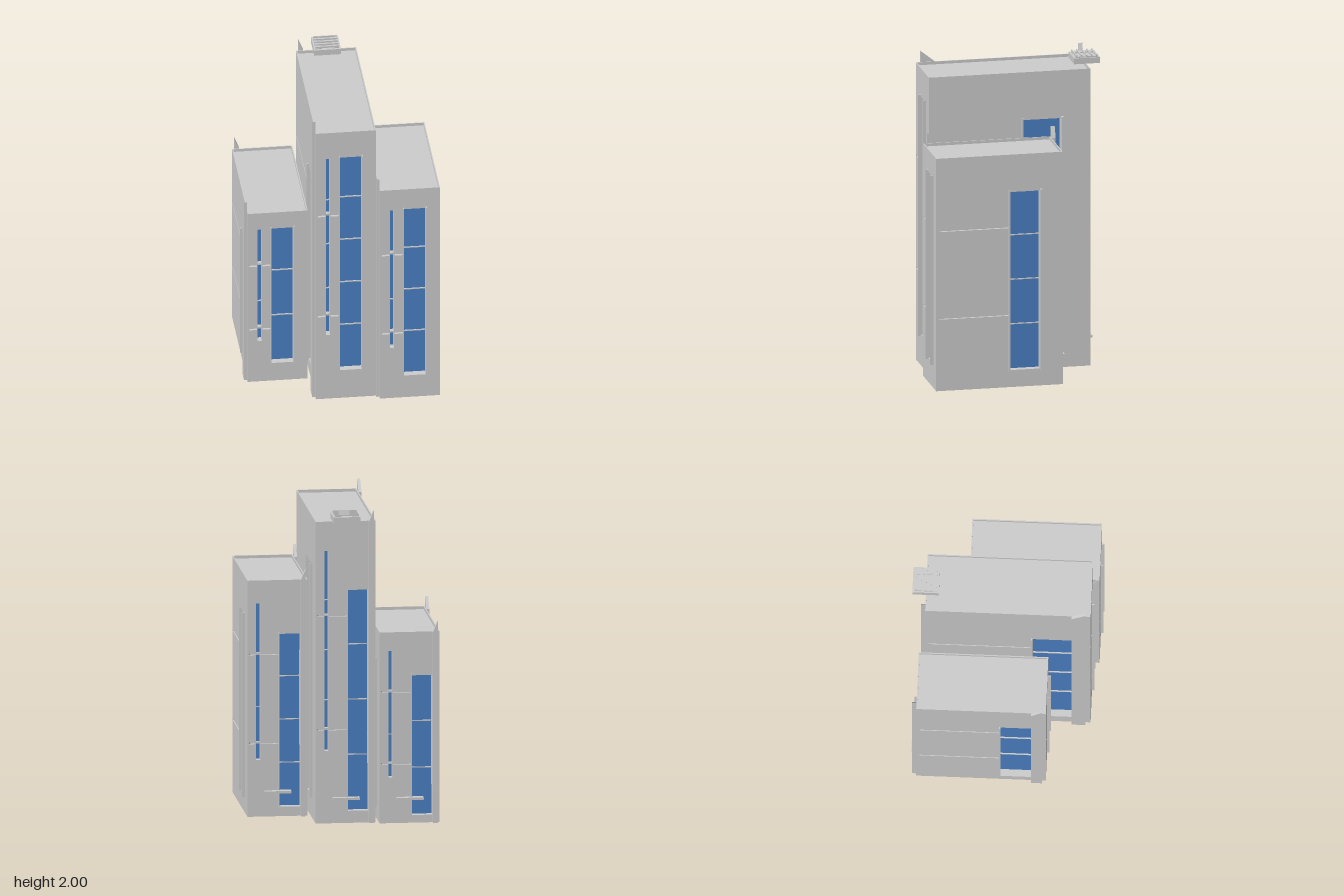
import * as THREE from 'three';

const grey = new THREE.MeshStandardMaterial({ color: 0xcccccc, flatShading: true });
const blue = new THREE.MeshStandardMaterial({ color: 0x4a7fc4, flatShading: true });
const WALL = 0.05; // wall thickness, also the window recess
const LIP = 0.018; // roof edge height

function add(parent, name, geometry, material = grey) {
  const mesh = new THREE.Mesh(geometry, material);
  mesh.name = name;
  parent.add(mesh);
  return mesh;
}

// box given by its limits on each axis
function box(parent, name, [x0, x1], [y0, y1], [z0, z1], material) {
  const mesh = add(parent, name, new THREE.BoxGeometry(x1 - x0, y1 - y0, z1 - z0), material);
  mesh.position.set((x0 + x1) / 2, (y0 + y1) / 2, (z0 + z1) / 2);
  return mesh;
}

function polygon(points, Type = THREE.Shape) {
  return new Type(points.map(([x, y]) => new THREE.Vector2(x, y)));
}

function rectangle([u0, u1], [y0, y1], Type) {
  return polygon([[u0, y0], [u1, y0], [u1, y1], [u0, y1]], Type);
}

// full-height upright with a slanted top
function slantedFin(parent, name, u0, u1, h, depth) {
  const shape = polygon([[u0, 0], [u1, 0], [u1, h + 0.07], [u0, h]]);
  add(parent, name, new THREE.ExtrudeGeometry(shape, { depth, bevelEnabled: false }));
}

// glass with cross bars, set back behind the wall surface (z = 0)
function glazing(parent, name, { u, y, panes }) {
  box(parent, name + 'Glass', u, y, [-WALL - 0.002, -WALL + 0.004], blue);
  for (let i = 1; i < panes; i++) {
    const level = y[0] + (y[1] - y[0]) * i / panes;
    box(parent, name + 'Bar', u, [level - 0.003, level + 0.003], [-WALL, -WALL + 0.012]);
  }
}

// one wall, outward along local +z, with openings, grooves and window fins
function facade(name, w, h, { win, strip, finSizes, margin }) {
  const group = new THREE.Group();
  group.name = name;
  const wall = rectangle([-w / 2, w / 2], [0, h - LIP]);
  const openings = strip ? [win, strip] : [win];
  for (const o of openings) wall.holes.push(rectangle(o.u, o.y, THREE.Path));

  // horizontal grooves from the wall's edge to the window, split by the strip
  const start = -w / 2 + margin, end = win.u[0] - 0.004;
  const runs = strip
    ? [[start, strip.u[0] - 0.003], [strip.u[1] + 0.003, end]]
    : [[start, end]];
  for (const ratio of [0.311, 0.688]) {
    const y = [h * ratio - 0.006, h * ratio + 0.006];
    for (const run of runs) wall.holes.push(rectangle(run, y, THREE.Path));
    box(group, 'grooveBed', [start, end], y, [-WALL + 0.001, -0.018]);
  }

  // mitre the inner corners so neighbouring walls meet
  const geometry = new THREE.ExtrudeGeometry(wall, { depth: WALL, bevelEnabled: false });
  const p = geometry.attributes.position;
  for (let i = 0; i < p.count; i++) {
    const x = p.getX(i);
    if (p.getZ(i) < 0.001 && Math.abs(x) > w / 2 - 0.001) p.setX(i, x - Math.sign(x) * WALL);
  }
  geometry.computeVertexNormals();
  add(group, 'wall', geometry).position.z = -WALL;

  glazing(group, 'window', win);
  if (strip) glazing(group, 'strip', strip);

  // thin uprights either side of the window: [width, projection]
  finSizes.forEach(([width, out], i) => {
    const u = i ? [win.u[1], win.u[1] + width] : [win.u[0] - width, win.u[0]];
    box(group, 'windowFin', u, [win.y[0] - 0.008, win.y[1] + 0.012], [-WALL, out]);
  });
  return group;
}

function tower(name, cx, zBack, zFront, h, frontPanes, stripPanes, sidePanes) {
  const group = new THREE.Group();
  group.name = name;
  const w = 0.38, d = zFront - zBack;
  group.position.set(cx, 0, (zBack + zFront) / 2);
  const span = (a, b) => [a * h, b * h];
  const around = (c) => [(c - 0.118) * d, (c + 0.118) * d];

  const front = facade('frontWall', w, h, {
    win: { u: [-0.04, 0.1], y: span(0.104, 0.905), panes: frontPanes },
    strip: { u: [-0.126, -0.1], y: span(0.24, 0.903), panes: stripPanes },
    finSizes: [[0.005, 0.018], [0.005, 0.02]], margin: 0.01,
  });
  front.position.z = d / 2;

  const back = facade('backWall', w, h, {
    win: { u: [0.012, 0.145], y: span(0.04, 0.772), panes: sidePanes },
    strip: { u: [-0.135, -0.109], y: span(0.24, 0.903), panes: stripPanes },
    finSizes: [[0.005, 0.018], [0.005, 0.018]], margin: 0.01,
  });
  back.rotation.y = Math.PI;
  back.position.z = -d / 2;
  slantedFin(back, 'backFin', 0.145, 0.175, h, 0.027);
  box(back, 'canopy', [-0.085, 0.085], [0.152, 0.167], [-0.01, 0.035]);

  const left = facade('leftWall', d, h, {
    win: { u: around(0.2), y: span(0.073, 0.839), panes: sidePanes },
    finSizes: [[0.008, 0.013], [0.014, 0.0195]], margin: 0.02,
  });
  left.rotation.y = Math.PI / 2;
  left.position.x = w / 2;

  const right = facade('rightWall', d, h, {
    win: { u: around(0.267), y: span(0.045, 0.77), panes: sidePanes },
    finSizes: [[0.009, 0.014]], margin: 0.02,
  });
  right.rotation.y = -Math.PI / 2;
  right.position.x = -w / 2;
  slantedFin(right, 'sideFin', 0.385 * d, 0.47 * d, h, 0.0195);

  group.add(front, back, left, right);

  // solid core carries the roof and the floor
  const cw = w / 2 - WALL, cd = d / 2 - WALL;
  box(group, 'core', [-cw, cw], [0, h - LIP], [-cd, cd]);

  // narrow raised edge round the roof
  const t = 0.007;
  const rim = rectangle([-w / 2, w / 2], [-d / 2, d / 2]);
  rim.holes.push(rectangle([-w / 2 + t, w / 2 - t], [-d / 2 + t, d / 2 - t], THREE.Path));
  const edge = add(group, 'roofEdge', new THREE.ExtrudeGeometry(rim, { depth: LIP, bevelEnabled: false }));
  edge.rotation.x = -Math.PI / 2;
  edge.position.y = h - LIP;
  return group;
}

// roof unit overhanging the back of the middle tower
function roofUnit() {
  const group = new THREE.Group();
  group.name = 'roofUnit';
  box(group, 'unitBody', [-0.085, 0.085], [1.936, 1.974], [-0.595, -0.428]);
  for (const x of [-0.055, 0.055]) {
    box(group, 'unitRail', [x - 0.02, x + 0.02], [1.974, 1.981], [-0.582, -0.441]);
  }
  for (let i = 0; i < 5; i++) {
    const z = -0.575 + i * 0.032;
    box(group, 'unitSlat', [-0.075, 0.075], [1.979, 1.99], [z - 0.004, z + 0.004]);
  }
  return group;
}

export function createModel() {
  const model = new THREE.Group();
  model.name = 'towerBlock';
  model.add(
    tower('lowTower', -0.4, -0.55, 0.265, 1.222, 3, 3, 3),
    tower('tallTower', 0, -0.51, 0.53, 1.932, 5, 4, 4),
    tower('middleTower', 0.4, -0.245, 0.57, 1.512, 4, 3, 4),
    roofUnit(),
  );
  return model;
}
